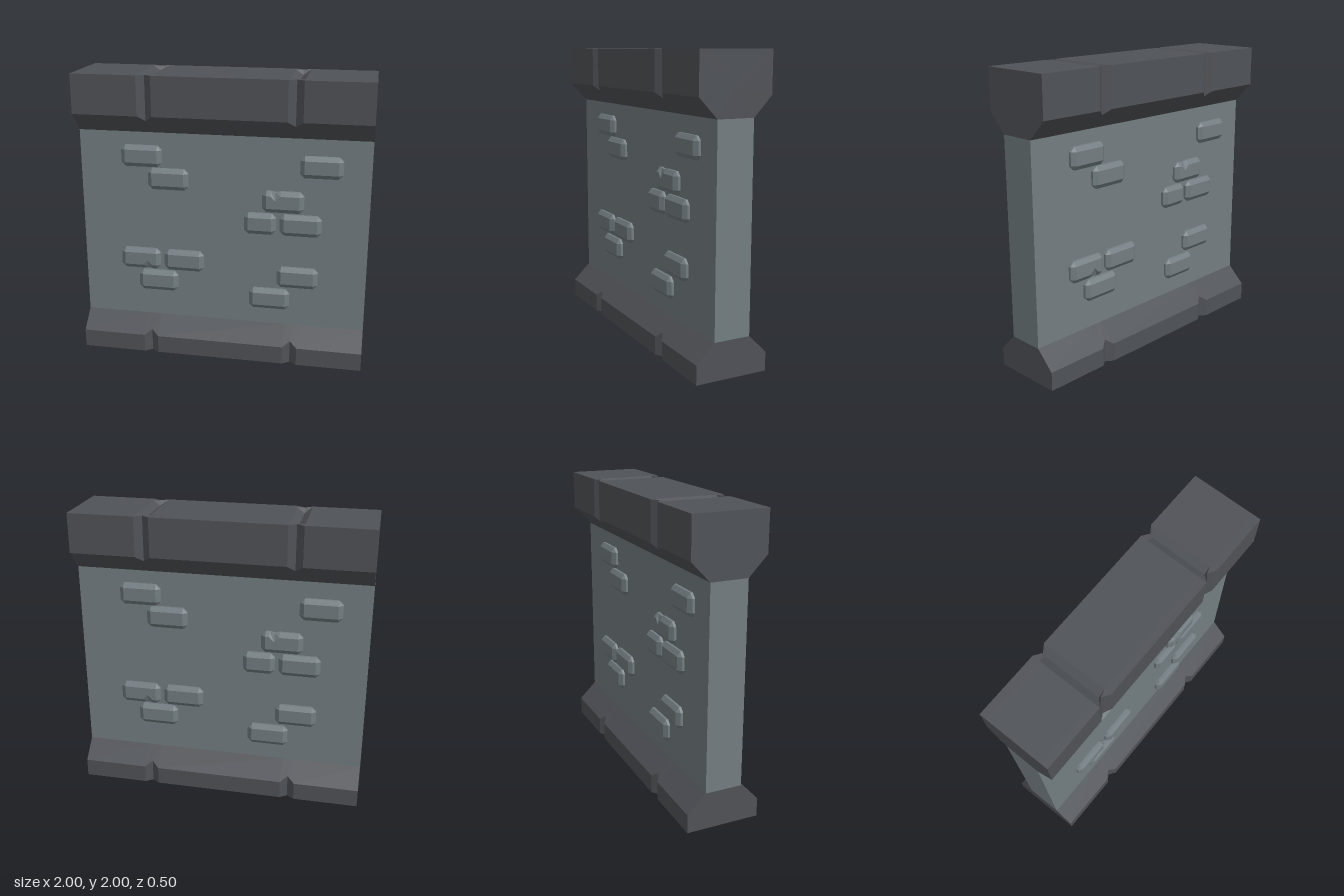
import * as THREE from 'three';

const wallStone = new THREE.MeshStandardMaterial({ color: 0x737d81, side: THREE.DoubleSide });
const trimStone = new THREE.MeshStandardMaterial({ color: 0x4f5257, side: THREE.DoubleSide });
wallStone.name = 'wallStone';
trimStone.name = 'trimStone';

// Flat-shaded skin over a stack of rings; zero-area triangles are dropped
function loft(rings, closed) {
  const pos = [];
  const tri = (a, b, c) => {
    if (a.distanceTo(b) < 1e-6 || b.distanceTo(c) < 1e-6 || c.distanceTo(a) < 1e-6) return;
    for (const p of [a, b, c]) pos.push(p.x, p.y, p.z);
  };
  for (let i = 0; i < rings.length - 1; i++) {
    const r = rings[i], s = rings[i + 1], n = r.length;
    for (let j = 0; j < (closed ? n : n - 1); j++) {
      const k = (j + 1) % n;
      tri(r[j], s[j], s[k]);
      tri(r[j], s[k], r[k]);
    }
  }
  const g = new THREE.BufferGeometry();
  g.setAttribute('position', new THREE.Float32BufferAttribute(pos, 3));
  g.computeVertexNormals();
  return g;
}

// Beam along x: front half of the profile [z, y] is mirrored to the back,
// notched at x = -0.5 and 0.5, with both ends filled from a centre point
function beam(plain, notched, endY, closed) {
  const ring = (x, half) => [
    ...half.map(([z, y]) => new THREE.Vector3(x, y, z)),
    ...[...half].reverse().map(([z, y]) => new THREE.Vector3(x, y, -z)),
  ];
  const end = (x) => ring(x, plain).map(() => new THREE.Vector3(x, endY, 0));
  const stations = [-1, -0.55, -0.5, -0.45, 0.45, 0.5, 0.55, 1];
  const rings = stations.map((x) => ring(x, Math.abs(x) === 0.5 ? notched : plain));
  return loft([end(-1), ...rings, end(1)], closed);
}

// Bevelled brick with clipped corners, optionally chipped along its top edge
function brick(w, h, chipped) {
  const X = w / 2, Y = h / 2, c = 0.03, i = 0.03, chipX = -0.05, r = 0.035;
  const outer = [[-X, -Y + c], [-X, Y - c], [-X + c, Y]];
  const inner = [[-X + i, -Y + i], [-X + i, Y - i], [-X + i, Y - i]];
  if (chipped) {
    outer.push([chipX - r, Y], [chipX, Y - 0.008], [chipX + r, Y]);
    inner.push([chipX - r, Y - i], [chipX, 0.01], [chipX + r, Y - i]);
  }
  outer.push([X - c, Y], [X, Y - c], [X, -Y + c], [X - c, -Y], [-X + c, -Y]);
  inner.push([X - i, Y - i], [X - i, Y - i], [X - i, -Y + i], [X - i, -Y + i], [-X + i, -Y + i]);
  const at = (pts, z) => pts.map(([x, y]) => new THREE.Vector3(x, y, z));
  const middle = inner.map(() => [chipX, -0.04]);
  return loft([at(outer, 0.12), at(outer, 0.142), at(inner, 0.165), at(middle, 0.165)], true);
}

export function createModel() {
  const model = new THREE.Group();
  model.name = 'stoneWall';
  const add = (parent, name, geometry, material) => {
    const mesh = new THREE.Mesh(geometry, material);
    mesh.name = name;
    parent.add(mesh);
    return mesh;
  };

  // Main slab, open underneath
  const slab = [[0.125, 0.25], [0.125, 1.6]];
  add(model, 'wallSlab', beam(slab, slab, 0.25, false), wallStone);

  // Top coping with grooves on its faces and top
  add(model, 'coping', beam(
    [[0.125, 1.6], [0.25, 1.73], [0.25, 2], [0.2, 2]],
    [[0.125, 1.6], [0.215, 1.695], [0.215, 2], [0.2, 1.965]], 1.8, true), trimStone);

  // Sloped footing, hollow underneath
  add(model, 'footing', beam(
    [[0.25, 0], [0.25, 0.127], [0.125, 0.25]],
    [[0.215, 0], [0.215, 0.162], [0.125, 0.25]], 0, false), trimStone);

  // Raised bricks: centre x, centre y, width, chip (1 top edge, -1 bottom edge)
  const bricks = [
    [-0.56, 1.435, 0.285, 0], [-0.375, 1.278, 0.285, 0], [0.672, 1.412, 0.285, 0],
    [0.42, 1.16, 0.285, 1], [0.265, 0.998, 0.22, 0], [0.543, 0.998, 0.285, 0],
    [-0.585, 0.685, 0.285, -1], [-0.272, 0.685, 0.285, 0], [-0.46, 0.522, 0.285, 0],
    [0.53, 0.615, 0.285, 0], [0.337, 0.445, 0.285, 0],
  ];
  for (const side of ['front', 'back']) {
    const group = new THREE.Group();
    group.name = side + 'Bricks';
    if (side === 'back') group.rotation.y = Math.PI;
    for (const [x, y, w, chip] of bricks) {
      const mesh = add(group, 'brick', brick(w, 0.15, chip !== 0), wallStone);
      mesh.position.set(x, y, 0);
      if (chip < 0) mesh.rotation.z = Math.PI;
    }
    model.add(group);
  }
  return model;
}
